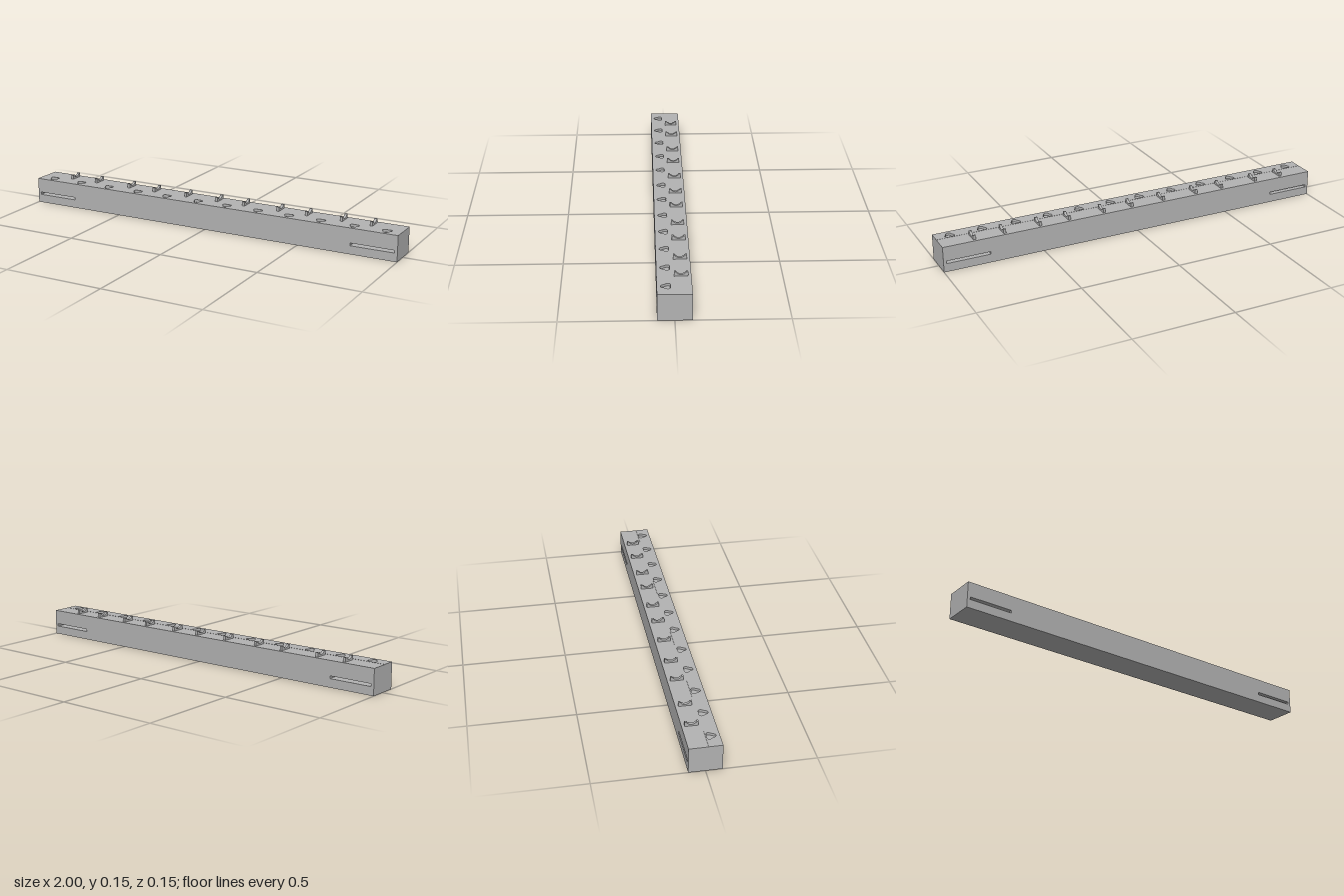
import * as THREE from 'three';

export function createModel() {
  const model = new THREE.Group();
  model.name = 'toolRail';
  const grey = new THREE.MeshStandardMaterial({ color: 0xb2b2b2 });
  grey.name = 'plain grey';

  const W = 2, D = 0.152, TOP = 0.128, FLOOR = 0.116, STEP = 0.012;

  const add = (name, geometry, parent = model) => {
    const mesh = new THREE.Mesh(geometry, grey);
    mesh.name = name;
    parent.add(mesh);
    return mesh;
  };
  const rect = (Type, x0, y0, x1, y1) => new Type([
    new THREE.Vector2(x0, y0), new THREE.Vector2(x1, y0),
    new THREE.Vector2(x1, y1), new THREE.Vector2(x0, y1)]);
  const extrude = (shape, depth) =>
    new THREE.ExtrudeGeometry(shape, { depth, bevelEnabled: false, curveSegments: 16 });

  // Main block with a long slot right through it near each end
  const block = rect(THREE.Shape, -W / 2, 0, W / 2, FLOOR);
  for (const s of [-1, 1]) {
    block.holes.push(rect(THREE.Path, s * 0.877 - 0.108, 0.042, s * 0.877 + 0.108, 0.055));
  }
  add('block', extrude(block, D).translate(0, 0, -D / 2));

  // Front deck, cut by a row of three-lobed pockets
  const deck = rect(THREE.Shape, -W / 2, -D / 2, W / 2, -STEP);
  const pocketX = [-0.925, -0.755, -0.585, -0.41, -0.24, -0.06, 0.1, 0.27, 0.435, 0.6, 0.77, 0.93];
  for (const x of pocketX) {
    const points = [];
    for (let i = 0; i < 36; i++) {
      const a = (i / 36) * Math.PI * 2;
      const r = 0.021 + 0.004 * Math.cos(3 * (a - Math.PI / 6));
      points.push(new THREE.Vector2(x + r * Math.cos(a), -0.035 + r * Math.sin(a)));
    }
    deck.holes.push(new THREE.Path(points));
  }
  add('pocketDeck', extrude(deck, TOP - FLOOR).rotateX(-Math.PI / 2).translate(0, FLOOR, 0));

  // Rear deck, a hair lower, that carries the cradles
  const rearH = TOP - FLOOR - 0.0008;
  const rearD = D / 2 + STEP;
  add('rearDeck', new THREE.BoxGeometry(W, rearH, rearD)
    .translate(0, FLOOR + rearH / 2, -D / 2 + rearD / 2));

  // Small upright cradles with a round scoop in the top
  const thick = 0.013, midZ = -0.031, half = 0.023, dip = 0.013, crest = 0.148;
  const R = (half * half + dip * dip) / (2 * dip);
  const sweep = Math.asin(half / R);
  const cradle = new THREE.Shape();
  cradle.moveTo(-0.062, TOP - 0.002);
  cradle.lineTo(0, TOP - 0.002);
  cradle.lineTo(0, crest);
  cradle.lineTo(midZ + half, crest);
  cradle.absarc(midZ, crest - dip + R, R, -Math.PI / 2 + sweep, -Math.PI / 2 - sweep, true);
  cradle.lineTo(-0.062, crest);
  const cradleGeometry = extrude(cradle, thick).rotateY(-Math.PI / 2).translate(thick / 2, 0, 0);

  const cradles = new THREE.Group();
  cradles.name = 'cradles';
  model.add(cradles);
  const cradleX = [-0.835, -0.685, -0.485, -0.335, -0.15, 0.025, 0.175, 0.36, 0.51, 0.69, 0.84];
  for (const x of cradleX) add('cradle', cradleGeometry, cradles).position.x = x;

  return model;
}
